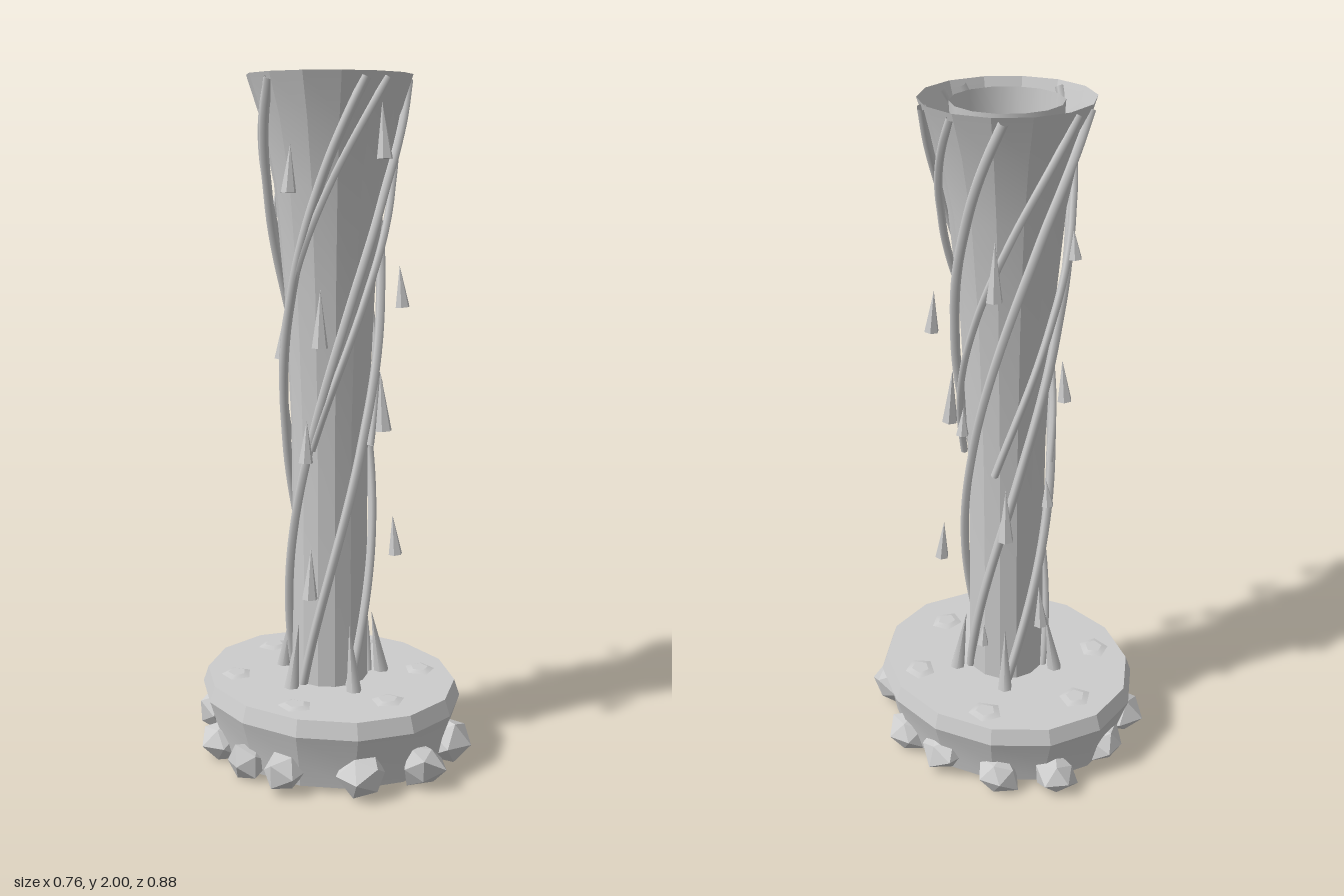
import * as THREE from 'three';
import { toCreasedNormals } from 'three/addons/utils/BufferGeometryUtils.js';

const SIDES = 14;
const CX = 0.01, CZ = -0.02; // axis of base and column

export function createModel() {
  const model = new THREE.Group();
  model.name = 'twistedPedestal';
  const stone = new THREE.MeshStandardMaterial({ color: 0xcccccc, side: THREE.DoubleSide });
  stone.name = 'pale stone';

  let seed = 7;
  const rand = () => (seed = (seed * 16807) % 2147483647) / 2147483647;

  const add = (name, geometry, x = 0, y = 0, z = 0) => {
    const mesh = new THREE.Mesh(geometry, stone);
    mesh.name = name;
    mesh.position.set(x, y, z);
    model.add(mesh);
    return mesh;
  };
  const lathe = (profile, crease) => toCreasedNormals(new THREE.LatheGeometry(
    profile.map(([r, y]) => new THREE.Vector2(r, y)), SIDES, Math.PI / 2), crease);

  // Oval base with a bevelled upper edge
  add('base', lathe([[0, 0.015], [0.325, 0.015], [0.338, 0.09], [0.365, 0.18],
    [0.35, 0.228], [0, 0.228]], 0.2), CX, 0, CZ).scale.z = 1.135;

  // Flared open column, with a separate inner sleeve standing inside it
  add('column', lathe([[0.115, 0.2], [0.111, 0.6], [0.113, 1.0], [0.131, 1.4],
    [0.159, 1.7], [0.196, 1.88], [0.235, 2]], 0.2), CX, 0, CZ);
  add('innerSleeve', lathe([[0.152, 1.99], [0.135, 1.7], [0.115, 1.4], [0.095, 1.0],
    [0.075, 0.6], [0.045, 0.3], [0, 0.26]], 1.2), CX, 0, CZ);
  add('sleeveFloor', new THREE.SphereGeometry(0.046, 14, 8), CX, 0.3, CZ);

  // Vines winding up the column, standing slightly proud of it
  const vinePath = [[0.2, 0.118], [0.6, 0.125], [1.0, 0.13], [1.4, 0.15], [1.7, 0.178], [1.985, 0.226]];
  const vineRadius = (y) => {
    let i = 1;
    while (i < vinePath.length - 1 && vinePath[i][0] < y) i++;
    const [y0, r0] = vinePath[i - 1], [y1, r1] = vinePath[i];
    return r0 + (r1 - r0) * (y - y0) / (y1 - y0);
  };
  const vine = (name, y0, endDeg, twistDeg, thickness) => {
    const points = [];
    for (let i = 0; i <= 18; i++) {
      const t = i / 18, y = y0 + (1.985 - y0) * t, r = vineRadius(y);
      const a = THREE.MathUtils.degToRad(endDeg - twistDeg * (1 - t));
      points.push(new THREE.Vector3(CX + r * Math.sin(a), y, CZ + r * Math.cos(a)));
    }
    add(name, new THREE.TubeGeometry(new THREE.CatmullRomCurve3(points), 48, thickness, 6));
  };
  for (let i = 0; i < 5; i++) vine('longVine', 0.2, 123 - 72 * i, 215, 0.0135);
  for (let i = 0; i < 4; i++) vine('shortVine', 0.95, 177 - 90 * i, 157, 0.011);

  // Upright thorns around the column: x, bottom y, z, height
  const thorns = [
    [-0.2, 1.68, 0.03, 0.13], [-0.01, 1.77, 0.2, 0.15], [0.205, 1.52, -0.12, 0.16],
    [0.0, 1.6, -0.23, 0.08], [-0.165, 1.26, 0.11, 0.16], [0.205, 1.1, -0.01, 0.08],
    [0.14, 1.35, 0.14, 0.12], [0.02, 1.01, 0.175, 0.17], [0.0, 1.18, -0.205, 0.12],
    [-0.17, 0.93, 0.06, 0.12], [0.14, 0.76, -0.11, 0.16], [0.02, 0.84, -0.17, 0.08],
    [0.13, 0.61, 0.13, 0.12], [-0.145, 0.52, 0.05, 0.15], [0.04, 0.43, -0.165, 0.13],
    [0.13, 0.35, -0.02, 0.07],
  ];
  for (const [x, y, z, h] of thorns) {
    const cone = toCreasedNormals(new THREE.ConeGeometry(0.014 + h * 0.06, h, 6), 0.5);
    const thorn = add('thorn', cone, x, y + h / 2, z);
    const a = Math.atan2(x - CX, z - CZ);
    thorn.rotation.set(-0.08 * Math.cos(a), 0, 0.08 * Math.sin(a));
  }

  // Root spikes at the foot of the long vines
  for (let i = 0; i < 5; i++) {
    const a = THREE.MathUtils.degToRad(-92 - 72 * i), h = 0.21;
    const spike = add('rootSpike', new THREE.ConeGeometry(0.025, h, 6),
      CX + 0.145 * Math.sin(a), 0.21 + h / 2, CZ + 0.145 * Math.cos(a));
    spike.rotation.set(-0.16 * Math.cos(a), 0, 0.16 * Math.sin(a));
  }

  // Rough rocks around the foot of the base
  const rocks = [[-0.02, 0.37], [0.16, 0.32], [0.305, 0.14], [0.315, -0.01], [0.3, -0.2],
    [0.2, -0.34], [0.0, -0.38], [-0.15, -0.35], [-0.28, -0.19], [-0.32, -0.04],
    [-0.31, 0.1], [-0.18, 0.29]];
  for (const [x, z] of rocks) {
    const rock = new THREE.IcosahedronGeometry(0.068, 0);
    const p = rock.attributes.position, v = new THREE.Vector3(), k = rand() * 6;
    for (let i = 0; i < p.count; i++) {
      v.fromBufferAttribute(p, i);
      v.multiplyScalar(1 + 0.18 * Math.sin(v.x * 70 + v.y * 45 + v.z * 95 + k));
      p.setXYZ(i, v.x, v.y * 0.95, v.z);
    }
    rock.rotateY(rand() * 6);
    rock.computeBoundingBox();
    rock.translate(0, -rock.boundingBox.min.y, 0);
    rock.computeVertexNormals();
    add('footRock', rock, x, 0, z);
  }

  // Irregular stones set almost flush into the top of the base
  const inlays = [[0.055, -0.31], [-0.19, -0.22], [-0.24, 0.08], [-0.03, 0.25],
    [0.22, 0.16], [0.27, -0.13]];
  for (const [x, z] of inlays) {
    const disc = new THREE.CylinderGeometry(0.03, 0.055, 0.008, 5);
    disc.scale(1, 1, 0.9).rotateY(Math.atan2(x - CX, z - CZ));
    add('inlaidStone', disc, x, 0.231, z);
  }
  return model;
}
